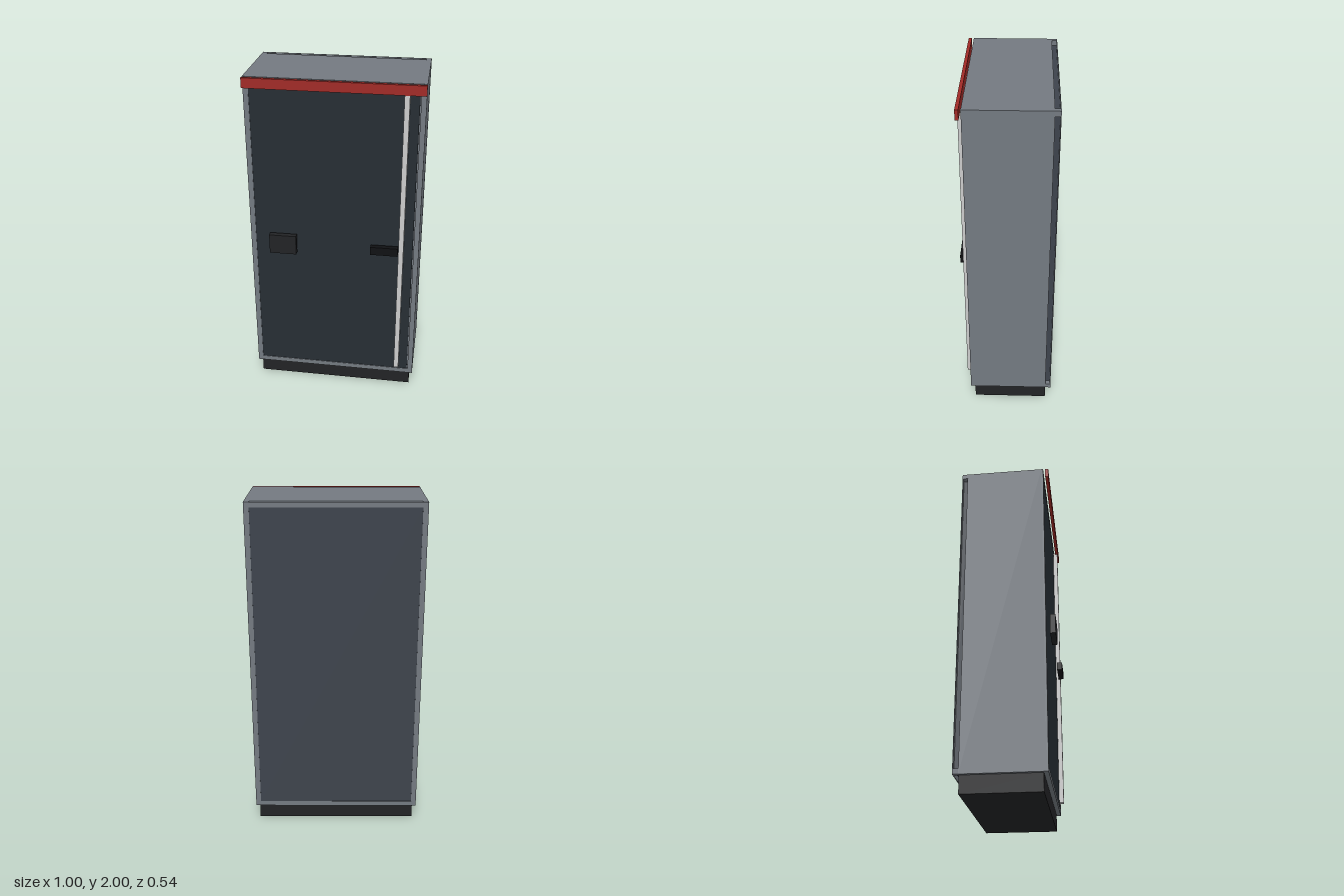
import * as THREE from 'three';

const mat = (color) => new THREE.MeshStandardMaterial({ color });
const steel = mat(0x737980);
const doorPaint = mat(0x262d33);
const backPaint = mat(0x3d434c);
const plinthPaint = mat(0x222325);
const red = mat(0xa02a26);
const silver = mat(0xcccccc);
const black = mat(0x101113);

// Box given by its min and max on each axis
function box(name, material, [x0, x1], [y0, y1], [z0, z1]) {
  const mesh = new THREE.Mesh(new THREE.BoxGeometry(x1 - x0, y1 - y0, z1 - z0), material);
  mesh.position.set((x0 + x1) / 2, (y0 + y1) / 2, (z0 + z1) / 2);
  mesh.name = name;
  return mesh;
}

// Rectangular frame with a 0.03 border around the cabinet outline
function frame(name, z0, z1) {
  const rect = (Type, x, y0, y1) => {
    const p = new Type();
    p.moveTo(-x, y0).lineTo(x, y0).lineTo(x, y1).lineTo(-x, y1).closePath();
    return p;
  };
  const shape = rect(THREE.Shape, 0.5, 0.1, 2);
  shape.holes.push(rect(THREE.Path, 0.47, 0.13, 1.97));
  const geometry = new THREE.ExtrudeGeometry(shape, { depth: z1 - z0, bevelEnabled: false });
  const mesh = new THREE.Mesh(geometry, steel);
  mesh.position.z = z0;
  mesh.name = name;
  return mesh;
}

export function createModel() {
  const cabinet = new THREE.Group();
  cabinet.name = 'cabinet';

  // Plinth and carcass
  cabinet.add(
    box('plinth', plinthPaint, [-0.48, 0.48], [0, 0.1], [-0.24, 0.2]),
    box('carcass', steel, [-0.5, 0.5], [0.1, 2], [-0.24, 0.215]),
  );

  // Front frame with the door set inside it
  cabinet.add(
    frame('frontFrame', 0.215, 0.226),
    box('door', doorPaint, [-0.47, 0.465], [0.13, 1.97], [0.214, 0.223]),
  );

  // Back panel held by a thin flange, its edges showing in the slot behind it
  cabinet.add(
    box('backPanel', backPaint, [-0.47, 0.47], [0.13, 1.97], [-0.27, -0.24]),
    frame('backFlange', -0.272, -0.268),
  );
  for (const x of [-0.5, 0.47]) {
    for (const y of [0.1, 1.97]) {
      cabinet.add(box('cornerBlock', steel, [x, x + 0.03], [y, y + 0.03], [-0.269, -0.24]));
    }
  }

  // Door fittings
  cabinet.add(
    box('headerBand', red, [-0.5, 0.5], [1.943, 2], [0.238, 0.257]),
    box('gripStrip', silver, [0.383, 0.412], [0.155, 1.95], [0.224, 0.252]),
    box('controlBox', plinthPaint, [-0.38, -0.22], [0.94, 1.06], [0.24, 0.272]),
    box('latch', black, [0.22, 0.38], [0.975, 1.025], [0.24, 0.272]),
  );

  return cabinet;
}
